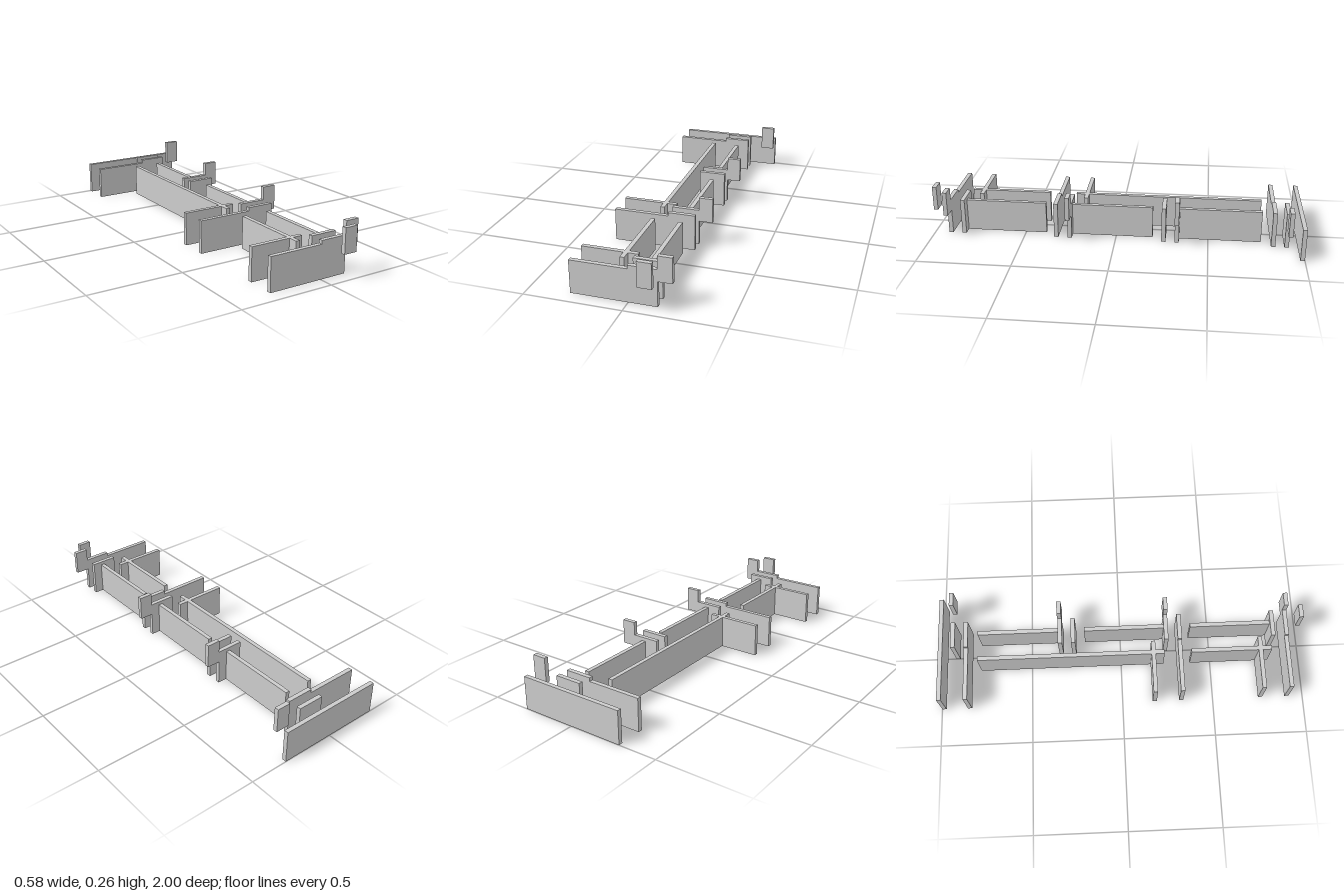
import * as THREE from 'three';

const T = 0.023;               // board thickness
const LOW = 0.176, MID = 0.195, TAB = 0.133, TOP = 0.265; // heights
const L = -0.292, R = 0.145;   // left and right ends of the cross panels

export function createModel() {
  const model = new THREE.Group();
  const material = new THREE.MeshStandardMaterial({ color: 0xcccccc, flatShading: true });

  // Upright board across the model, cut from an outline in x and y
  function crossPanel(name, z, outline) {
    const shape = new THREE.Shape(outline.map(([x, y]) => new THREE.Vector2(x, y)));
    const geometry = new THREE.ExtrudeGeometry(shape, { depth: T, bevelEnabled: false });
    const mesh = new THREE.Mesh(geometry, material);
    mesh.position.z = z - T / 2;
    mesh.name = name;
    model.add(mesh);
  }

  // Upright board running along z
  function rail(name, x, z0, z1) {
    const mesh = new THREE.Mesh(new THREE.BoxGeometry(T, LOW, z1 - z0), material);
    mesh.position.set(x, LOW / 2, (z0 + z1) / 2);
    mesh.name = name;
    model.add(mesh);
  }

  const rect = (x0, x1, y0, y1) => [[x0, y0], [x1, y0], [x1, y1], [x0, y1]];
  const tabEnd = [[R, 0], [R, TAB], [0.218, TAB], [0.218, TOP], [R, TOP], [R, MID], [0, MID]];
  const stepped = [[L, 0], [R, 0], [R, MID], [0, MID], [0, LOW], [L, LOW]];

  // Plain and stepped cross panels
  crossPanel('backPanel', -0.988, rect(L, 0.292, 0, LOW));
  for (const z of [-0.847, 0.325]) crossPanel('steppedPanel', z, stepped);
  for (const z of [-0.918, -0.26, 0.838]) crossPanel('shortPanel', z, rect(0, R, 0, MID));
  for (const z of [0.178, 0.765]) crossPanel('sidePanel', z, rect(L, 0, 0, LOW));

  // Panels with a raised tab on the end
  for (const z of [-0.332, 0.251]) crossPanel('tabbedPanel', z, [[0, 0], ...tabEnd]);
  crossPanel('frontPanel', 0.912, [[L, 0], ...tabEnd, [0, LOW], [L, LOW]]);

  // Loose raised tabs
  crossPanel('backTab', -0.918, rect(0.218, 0.292, TAB, TOP));
  crossPanel('frontTab', 0.988, rect(0.073, R, TAB, TOP));

  // Lengthwise rails
  rail('longRail', -0.064, -0.785, 0.238);
  rail('frontRail', -0.064, 0.386, 0.826);
  for (const z of [-0.784, -0.199, 0.386]) rail('innerRail', 0.084, z, z + 0.44);

  return model;
}
